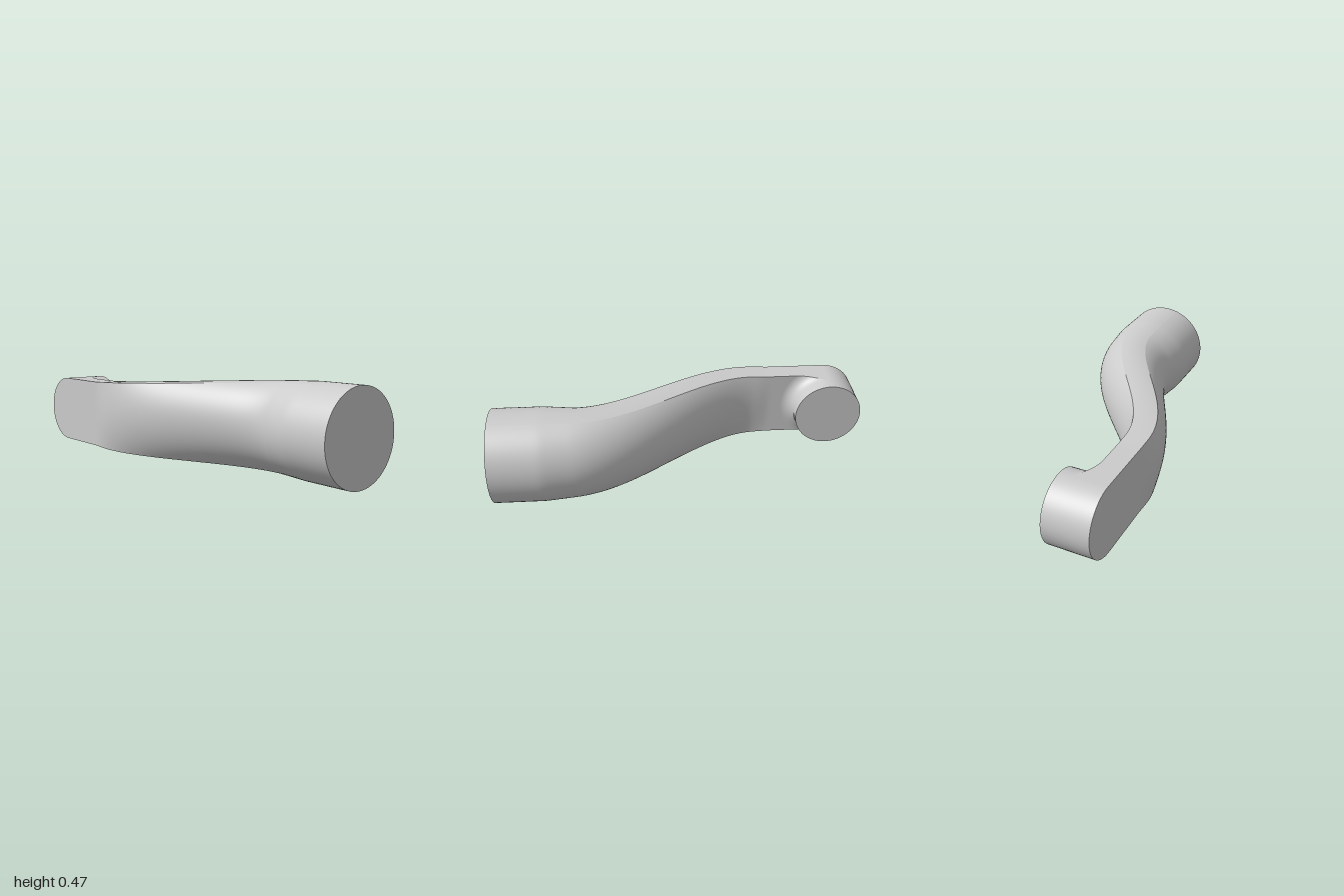
import * as THREE from 'three';
import { ParametricGeometry } from 'three/addons/geometries/ParametricGeometry.js';

const R = 0.234;                        // round end radius
const H = 0.174;                        // half height of the flat bar and boss radius
const T = 0.054;                        // half thickness of the flat bar
const X0 = -0.787, X1 = 0.94;           // boss axis and round end along the arm
const Z0 = 0.263, Z1 = -0.166;          // arm offset at the flat and round ends
const CORNER = Math.asin(0.07 / R);     // where the bar's corners land on the circle
const FILLET = 0.06;

const { lerp, clamp, smoothstep } = THREE.MathUtils;
const material = new THREE.MeshStandardMaterial({ color: 0xcccccc });

// S-shaped centre line
const pathZ = (x) => lerp(Z0, Z1, smoothstep(x, -0.4, 0.57));

// Four sides of the cross-section: [rectangle from, rectangle to, circle angle from, to]
const A = Math.PI / 2 - CORNER;
const sides = {
  armFront: [[T, -H], [T, H], -A, A, 28],
  armTop: [[T, H], [-T, H], A, Math.PI - A, 8],
  armBack: [[-T, H], [-T, -H], Math.PI - A, Math.PI + A, 28],
  armBottom: [[-T, -H], [T, -H], Math.PI + A, 2 * Math.PI - A, 8],
};

export function createModel() {
  const model = new THREE.Group();
  const arm = new THREE.Group();
  arm.name = 'leverArm';
  arm.position.y = R;
  arm.rotation.y = -THREE.MathUtils.degToRad(10);
  model.add(arm);

  const add = (name, geometry) => {
    const mesh = new THREE.Mesh(geometry, material);
    mesh.name = name;
    arm.add(mesh);
    return mesh;
  };
  const surface = (name, fn, nu, nv) => {
    const geometry = new ParametricGeometry(fn, nu, nv);
    geometry.computeVertexNormals();
    return add(name, geometry);
  };

  // Swept arm, blending from a flat bar to a round bar
  for (const [name, [p, q, a0, a1, n]] of Object.entries(sides)) {
    surface(name, (u, v, target) => {
      const x = lerp(X0, X1, u);
      const blend = clamp((x + 0.48) / 1.17, 0, 1);
      const angle = lerp(a0, a1, v);
      const across = lerp(lerp(p[0], q[0], v), R * Math.cos(angle), blend);
      const up = lerp(lerp(p[1], q[1], v), R * Math.sin(angle), blend);
      const slope = Math.atan((pathZ(x + 1e-3) - pathZ(x - 1e-3)) / 2e-3);
      target.set(x - across * Math.sin(slope), up, pathZ(x) + across * Math.cos(slope));
    }, 80, n);
  }

  // Flat face of the round end
  const cap = add('roundEndFace', new THREE.CircleGeometry(R, 64));
  cap.rotation.y = Math.PI / 2;
  cap.position.set(X1, 0, Z1);

  // Boss through the flat end, also forming the bar's rounded tip
  const front = Z0 + T, back = 0.086;
  const boss = add('boss', new THREE.CylinderGeometry(H, H, front - back, 64));
  boss.rotation.x = Math.PI / 2;
  boss.position.set(X0, 0, (front + back) / 2);

  // Concave fillet between boss and bar, trimmed flush with the bar's edges
  const root = Z0 - T;
  const profile = (t) => [
    H + FILLET * (1 - Math.cos(t * Math.PI / 2)),
    root - FILLET * (1 - Math.sin(t * Math.PI / 2)),
  ];
  surface('bossFillet', (u, v, target) => {
    const [r, z] = profile(v);
    const y = H * Math.sin((u - 0.5) * Math.PI);
    target.set(X0 + Math.sqrt(Math.max(0, r * r - y * y)), y, z);
  }, 40, 12);
  for (const side of [1, -1]) {
    surface(side > 0 ? 'filletTop' : 'filletBottom', (u, v, target) => {
      const [along, across] = side > 0 ? [u, v] : [v, u];
      const [r, z] = profile(along);
      target.set(X0 + across * Math.sqrt(Math.max(0, r * r - H * H)), side * H, z);
    }, 12, 12);
  }
  return model;
}
